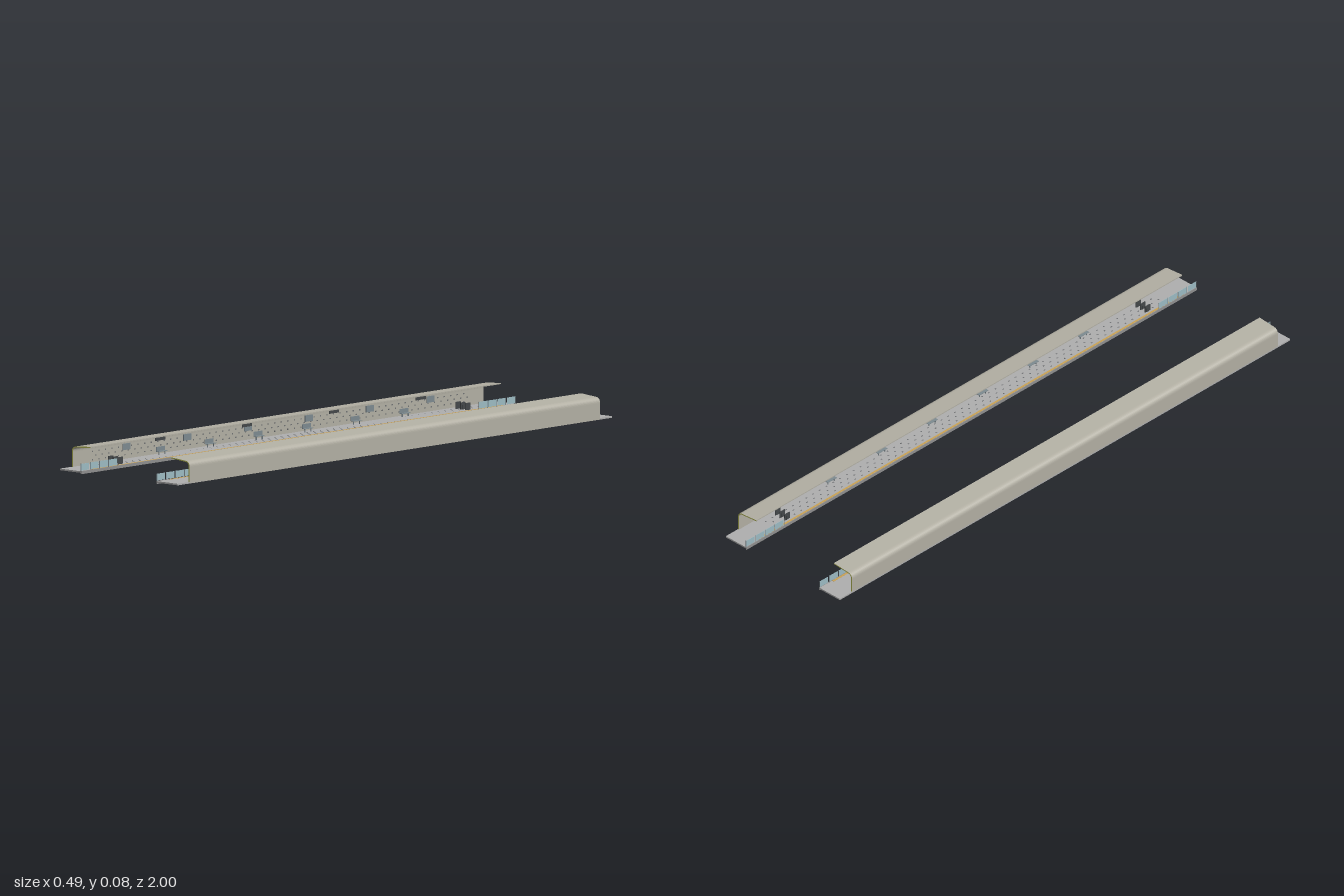
import * as THREE from 'three';
import { mergeGeometries } from 'three/addons/utils/BufferGeometryUtils.js';

const mat = (color) => new THREE.MeshStandardMaterial({ color });
const HALF = 0.945; // half length of the canopy

const box = (w, h, d, x, y, z) => new THREE.BoxGeometry(w, h, d).translate(x, y, z);

function add(group, name, geometries, material) {
  const mesh = new THREE.Mesh(mergeGeometries(geometries), material);
  mesh.name = name;
  group.add(mesh);
}

// Bent shell: back wall, rounded shoulder, rising roof
function canopyGeometry() {
  const s = new THREE.Shape();
  s.moveTo(0.247, 0.004);
  s.lineTo(0.247, 0.056);
  s.bezierCurveTo(0.247, 0.067, 0.241, 0.073, 0.23, 0.074);
  s.lineTo(0.168, 0.079);
  s.lineTo(0.168, 0.0755);
  s.lineTo(0.229, 0.0705);
  s.bezierCurveTo(0.239, 0.07, 0.243, 0.065, 0.243, 0.056);
  s.lineTo(0.243, 0.004);
  return new THREE.ExtrudeGeometry(s, { depth: HALF * 2, bevelEnabled: false, curveSegments: 8 })
    .translate(0, 0, -HALF);
}

function createPlatform() {
  const g = new THREE.Group();
  const dark = mat(0x44484a), glass = mat(0x9dbcc4), steel = mat(0x7d8a90);

  // Deck with a deeper lip on the track side
  add(g, 'deck', [box(0.088, 0.005, 2, 0.203, 0.0065, 0)], mat(0xaeaeae));
  add(g, 'edgeLip', [box(0.0025, 0.0095, 2, 0.1585, 0.00475, 0)], mat(0x8f8f8f));
  add(g, 'warningStrip', [box(0.007, 0.0006, HALF * 2, 0.164, 0.0093, 0)], mat(0xc9a255));

  const canopy = new THREE.Mesh(canopyGeometry(), [mat(0xb5b956), mat(0xb3b0a4)]);
  canopy.name = 'canopy';
  g.add(canopy);

  // Rows of small tiles on the deck and the inside wall
  const tiles = [];
  for (let i = 0; i < 58; i++) {
    const z = -0.855 + i * 0.03;
    for (let k = 0; k < 3; k++) {
      tiles.push(box(0.0004, 0.004, 0.006, 0.2429, 0.022 + k * 0.013, z + (k % 2) * 0.015));
      tiles.push(box(0.004, 0.0004, 0.006, 0.179 + k * 0.018, 0.0091, z + (k % 2) * 0.015));
    }
  }
  add(g, 'tiles', tiles, mat(0x707274));

  // Signs hung from the roof
  const signs = [];
  for (const z of [-0.6, -0.2, 0.2, 0.6]) {
    signs.push(box(0.002, 0.009, 0.045, 0.191, 0.0655, z));
    for (const dz of [-0.015, 0.015]) signs.push(box(0.001, 0.006, 0.001, 0.191, 0.0715, z + dz));
  }
  add(g, 'hangingSigns', signs, dark);

  // Panels on the back wall
  const panels = [];
  for (let i = 0; i < 6; i++) panels.push(box(0.003, 0.02, 0.035, 0.2415, 0.047, -0.7 + i * 0.28));
  add(g, 'wallPanels', panels, steel);

  // Benches along the wall
  const benches = [];
  for (let i = 0; i < 6; i++) {
    const z = -0.56 + i * 0.224;
    benches.push(box(0.012, 0.0015, 0.04, 0.22, 0.02, z), box(0.0015, 0.014, 0.04, 0.226, 0.027, z));
    for (const dz of [-0.014, 0.014]) benches.push(box(0.003, 0.011, 0.002, 0.22, 0.0145, z + dz));
  }
  add(g, 'benches', benches, steel);

  // Gates and glass railings at both ends
  const gates = [], panes = [], posts = [];
  for (const s of [-1, 1]) {
    for (const x of [0.177, 0.197, 0.217]) {
      gates.push(box(0.003, 0.022, 0.022, x, 0.02, s * 0.8));
      gates.push(box(0.005, 0.014, 0.01, x, 0.016, s * 0.8));
    }
    for (let i = 0; i < 4; i++) {
      panes.push(box(0.001, 0.021, 0.038, 0.1595, 0.0215, s * (0.852 + i * 0.043)));
    }
    for (let i = 0; i < 5; i++) posts.push(box(0.002, 0.024, 0.002, 0.1595, 0.021, s * (0.83 + i * 0.0422)));
  }
  add(g, 'gates', gates, dark);
  add(g, 'railingGlass', panes, glass);
  add(g, 'railingPosts', posts, steel);
  return g;
}

export function createModel() {
  const model = new THREE.Group();
  const left = createPlatform();
  left.name = 'leftPlatform';
  const right = createPlatform();
  right.name = 'rightPlatform';
  right.rotation.y = Math.PI;
  model.add(left, right);
  return model;
}
